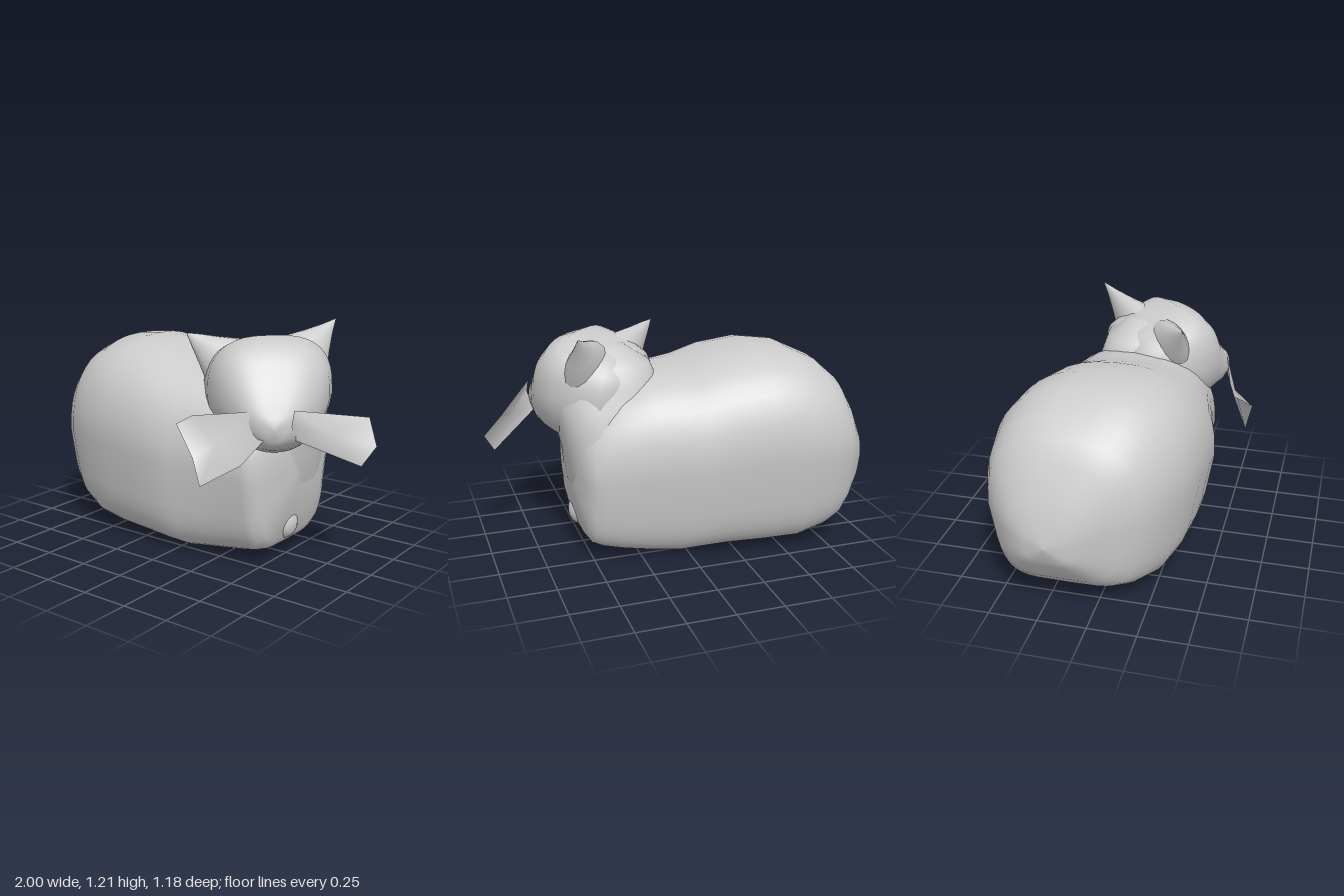
import * as THREE from 'three';

const grey = new THREE.MeshStandardMaterial({ color: 0xcccccc });
const greyThin = new THREE.MeshStandardMaterial({ color: 0xcccccc, side: THREE.DoubleSide });

// Skin over rounded cross-sections stacked along z; row = [z, xMin, xMax, yMin, yMax]
function loft(rows, upperPower, lowerPower, taper, sides = 40) {
  const pos = [], index = [];
  for (const [z, x0, x1, y0, y1] of rows) {
    const cx = (x0 + x1) / 2, hx = (x1 - x0) / 2, cy = (y0 + y1) / 2, hy = (y1 - y0) / 2;
    for (let j = 0; j < sides; j++) {
      const t = (j / sides) * Math.PI * 2, c = Math.cos(t), s = Math.sin(t);
      const e = 2 / (s < 0 ? lowerPower : upperPower);
      const px = Math.sign(c) * Math.abs(c) ** e, py = Math.sign(s) * Math.abs(s) ** e;
      const narrow = py < 0 ? 1 + taper * py : 1; // narrower toward the underside
      pos.push(cx + hx * px * narrow, cy + hy * py, z);
    }
  }
  for (let i = 0; i < rows.length - 1; i++)
    for (let j = 0; j < sides; j++) {
      const k = (j + 1) % sides, a = i * sides + j, b = i * sides + k;
      index.push(a, b, a + sides, b, b + sides, a + sides);
    }
  const g = new THREE.BufferGeometry();
  g.setAttribute('position', new THREE.Float32BufferAttribute(pos, 3));
  g.setIndex(index);
  g.computeVertexNormals();
  return g;
}

function addMesh(parent, name, geometry, material = grey) {
  const mesh = new THREE.Mesh(geometry, material);
  mesh.name = name;
  parent.add(mesh);
  return mesh;
}

// Pointed ear flaring out at its base, leaning from base to tip
function addEar(parent, name, base, tip) {
  const b = new THREE.Vector3(...base), dir = new THREE.Vector3(...tip).sub(b), len = dir.length();
  const profile = [[0.18, -0.06], [0.14, 0.05], [0.085, 0.14], [0.04, 0.22], [0.001, len]];
  const ear = addMesh(parent, name,
    new THREE.LatheGeometry(profile.map(([r, y]) => new THREE.Vector2(r, y)), 16), greyThin);
  ear.position.copy(b);
  ear.quaternion.setFromUnitVectors(new THREE.Vector3(0, 1, 0), dir.normalize());
  ear.scale.z = 0.65;
}

// Thin whisker plate: a fan around the middle of its outline
function addWhiskers(parent, name, outline) {
  const n = outline.length;
  const mid = [0, 1, 2].map(k => outline.reduce((sum, p) => sum + p[k], 0) / n);
  const g = new THREE.BufferGeometry();
  g.setAttribute('position', new THREE.Float32BufferAttribute([...outline, mid].flat(), 3));
  g.setIndex(outline.flatMap((_, i) => [i, (i + 1) % n, n]));
  g.computeVertexNormals();
  addMesh(parent, name, g, greyThin);
}

export function createModel() {
  const model = new THREE.Group();
  model.name = 'restingCat';

  // Loaf-shaped body from rump to chest: [x, zBack, zFront, yMin, yMax]
  const bodyRows = [
    [-1.0, -0.2, -0.2, 0.42, 0.42],
    [-0.985, -0.31, -0.08, 0.34, 0.52],
    [-0.95, -0.4, 0.01, 0.29, 0.65],
    [-0.88, -0.48, 0.15, 0.18, 0.81],
    [-0.82, -0.535, 0.24, 0.12, 0.91],
    [-0.73, -0.57, 0.31, 0.075, 0.99],
    [-0.58, -0.595, 0.39, 0.035, 1.06],
    [-0.4, -0.575, 0.43, 0.025, 1.08],
    [-0.2, -0.54, 0.445, 0.02, 1.05],
    [-0.05, -0.515, 0.445, 0.01, 1.0],
    [0.05, -0.49, 0.425, 0, 0.985],
    [0.2, -0.46, 0.39, 0.015, 0.97],
    [0.35, -0.42, 0.37, 0.035, 0.92],
    [0.45, -0.39, 0.365, 0.055, 0.86],
    [0.5, -0.365, 0.355, 0.075, 0.81],
    [0.53, -0.34, 0.32, 0.12, 0.78],
    [0.56, -0.28, 0.25, 0.24, 0.72],
    [0.58, -0.18, 0.15, 0.36, 0.64],
    [0.59, -0.01, -0.01, 0.5, 0.5],
  ].map(([x, zb, zf, y0, y1]) => [x, -zf, -zb, y0, y1]);
  addMesh(model, 'body', loft(bodyRows, 2.5, 5, 0.17)).rotation.y = Math.PI / 2;

  // Neck and chest rising out of the body: [y, xMin, xMax, zBack, zFront]
  const neckRows = [
    [0.2, 0.3, 0.3, -0.03, -0.03],
    [0.25, 0.1, 0.53, -0.33, 0.22],
    [0.4, 0.05, 0.585, -0.36, 0.27],
    [0.55, 0.05, 0.6, -0.355, 0.27],
    [0.7, 0.06, 0.63, -0.335, 0.25],
    [0.82, 0.08, 0.645, -0.3, 0.22],
    [0.92, 0.1, 0.63, -0.265, 0.2],
    [1.02, 0.14, 0.59, -0.23, 0.17],
    [1.1, 0.26, 0.5, -0.12, 0.1],
    [1.11, 0.38, 0.38, 0, 0],
  ].map(([y, x0, x1, zb, zf]) => [y, x0, x1, -zf, -zb]);
  addMesh(model, 'neck', loft(neckRows, 2.7, 2.3, 0)).rotation.x = -Math.PI / 2;

  // Head turned halfway toward the front: [forward, right, left, yMin, yMax]
  const head = new THREE.Group();
  head.name = 'head';
  head.rotation.y = Math.PI / 4;
  model.add(head);
  addMesh(head, 'skull', loft([
    [0.02, 0.25, 0.25, 0.86, 0.86],
    [0.05, 0.08, 0.42, 0.7, 1.0],
    [0.12, -0.02, 0.53, 0.6, 1.07],
    [0.25, -0.07, 0.57, 0.56, 1.13],
    [0.38, -0.07, 0.57, 0.56, 1.165],
    [0.48, -0.04, 0.53, 0.59, 1.13],
    [0.55, 0, 0.48, 0.61, 1.06],
    [0.6, 0.04, 0.43, 0.63, 0.97],
    [0.65, 0.07, 0.37, 0.65, 0.9],
    [0.7, 0.11, 0.31, 0.68, 0.85],
    [0.725, 0.15, 0.26, 0.71, 0.82],
    [0.73, 0.2, 0.2, 0.77, 0.77],
  ], 2.8, 2.4, 0.15));
  addEar(head, 'leftEar', [0.43, 1.01, 0.26], [0.636, 1.21, 0.17]);
  addEar(head, 'rightEar', [0.07, 0.99, 0.26], [-0.148, 1.155, 0.19]);

  // Whisker plates either side of the muzzle
  addWhiskers(model, 'leftWhiskers', [
    [0.71, 0.857, 0.29], [0.92, 0.785, -0.07], [1.0, 0.665, 0],
    [0.945, 0.565, 0.045], [0.695, 0.7, 0.25], [0.715, 0.785, 0.32]]);
  addWhiskers(model, 'rightWhiskers', [
    [0.17, 0.755, 0.505], [0.335, 0.63, 0.59], [0.35, 0.48, 0.555],
    [0.52, 0.59, 0.46], [0.62, 0.73, 0.39], [0.55, 0.85, 0.4], [0.24, 0.8, 0.47]]);

  // Paw peeping out under the chest
  const paw = addMesh(model, 'tuckedPaw', new THREE.SphereGeometry(1, 20, 14));
  paw.scale.set(0.06, 0.08, 0.08);
  paw.position.set(0.51, 0.18, 0.03);
  return model;
}
